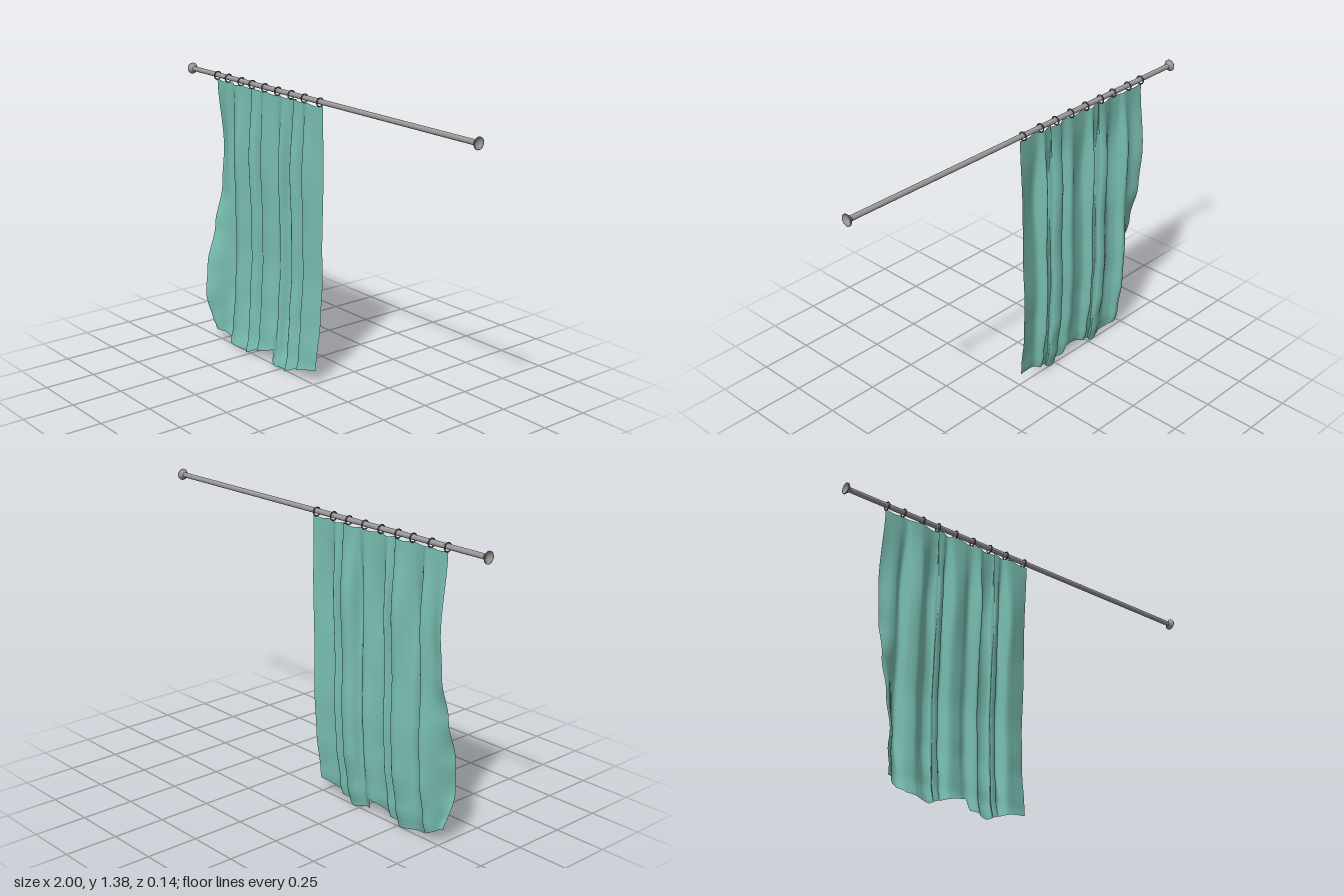
import * as THREE from 'three';

const ROD_Y = 1.355, ROD_Z = -0.028, TOP = 1.335;

// Smoothly interpolated lookup in a list of [key, value] pairs with rising keys
function sample(list, t, smooth = true) {
  if (t <= list[0][0]) return list[0][1];
  for (let i = 1; i < list.length; i++) {
    const [k0, v0] = list[i - 1], [k1, v1] = list[i];
    if (t <= k1) {
      let f = (t - k0) / (k1 - k0);
      if (smooth) f = f * f * (3 - 2 * f);
      return v0 + (v1 - v0) * f;
    }
  }
  return list[list.length - 1][1];
}

// Plan of the folds: x position and depth from -1 (back) to 1 (front)
const FOLDS = [
  [-0.785, 0], [-0.74, 0.1], [-0.7, -0.3], [-0.665, -0.9], [-0.635, 0.5], [-0.59, 1], [-0.555, 0.1],
  [-0.515, -1], [-0.485, -0.7], [-0.495, 0.9], [-0.465, 0.6], [-0.44, -0.6], [-0.405, 0.8],
  [-0.35, 0.6], [-0.3, -0.2], [-0.255, 1], [-0.225, -0.6], [-0.195, -1], [-0.165, -0.6],
  [-0.175, 0.9], [-0.145, 0.5], [-0.12, -0.6], [-0.085, 0.9], [-0.03, 0.5], [0.03, -0.2],
];
// By height: middle depth, fold strength, and the depth of the loose left edge
const MIDDLE = [[0, 0.01], [0.1, -0.01], [0.3, -0.029], [0.5, -0.038], [0.7, -0.033], [1, -0.032], [1.335, -0.028]];
const STRENGTH = [[0, 0.012], [0.1, 0.015], [0.3, 0.025], [0.5, 0.022], [0.7, 0.02], [1, 0.033], [1.335, 0.007]];
const LEFT_EDGE = [[0.07, 0.03], [0.12, 0.045], [0.25, 0.07], [0.4, 0.05], [0.6, 0], [0.8, -0.045], [1, -0.06], [1.335, -0.03]];
const EDGE_X = [[0.06, 0.035], [0.2, 0.008], [0.4, -0.006], [0.9, 0], [1.335, 0]];
// Height of the uneven hem along x
const HEM = [[-0.785, 0.065], [-0.7, 0.052], [-0.65, 0.03], [-0.63, 0.017], [-0.5, 0.004], [-0.45, 0.028],
  [-0.38, 0.05], [-0.3, 0.072], [-0.293, 0.018], [-0.19, 0.002], [-0.13, 0.03], [-0.05, 0.055], [0.03, 0.07]];

function curtainGeometry() {
  const cols = 260, rows = 56;
  const plan = new THREE.CatmullRomCurve3(FOLDS.map(([x, d]) => new THREE.Vector3(x, 0, d * 0.035)));
  const pts = plan.getSpacedPoints(cols);
  const pos = [], index = [];
  for (let r = 0; r <= rows; r++) {
    const v = r / rows;
    for (const p of pts) {
      const s = (p.x + 0.785) / 0.815;
      const scallop = -0.006 * Math.pow(Math.sin(s * Math.PI * 8), 2) * Math.pow(v, 8);
      const y = v * TOP + sample(HEM, p.x, false) * Math.pow(1 - v, 3) + scallop;
      const loose = 1 - THREE.MathUtils.smoothstep(p.x, -0.785, -0.68);
      const folded = sample(MIDDLE, y) + sample(STRENGTH, y) * p.z / 0.035;
      const z = THREE.MathUtils.lerp(folded, sample(LEFT_EDGE, y), loose);
      const drift = -0.028 * (1 - v) * (0.5 + 0.5 * s) * (1 - loose);
      pos.push(p.x + drift + sample(EDGE_X, y) * loose, y, z);
    }
  }
  for (let r = 0; r < rows; r++) {
    for (let c = 0; c < cols; c++) {
      const a = r * (cols + 1) + c, b = a + cols + 1;
      index.push(a, a + 1, b, a + 1, b + 1, b);
    }
  }
  const g = new THREE.BufferGeometry();
  g.setAttribute('position', new THREE.Float32BufferAttribute(pos, 3));
  g.setIndex(index);
  g.computeVertexNormals();
  return g;
}

export function createModel() {
  const model = new THREE.Group();
  model.name = 'curtainOnRod';
  const cloth = new THREE.MeshStandardMaterial({ color: 0x78bdb0, side: THREE.DoubleSide });
  cloth.name = 'tealCloth';
  const metal = new THREE.MeshStandardMaterial({ color: 0x9c9999 });
  metal.name = 'greyMetal';
  const darkMetal = new THREE.MeshStandardMaterial({ color: 0x6a6666 });
  darkMetal.name = 'darkMetal';

  const add = (name, geometry, material, x = 0, y = 0, z = 0) => {
    const mesh = new THREE.Mesh(geometry, material);
    mesh.name = name;
    mesh.position.set(x, y, z);
    model.add(mesh);
    return mesh;
  };

  // Rod
  add('rod', new THREE.CylinderGeometry(0.012, 0.012, 1.976, 24).rotateZ(Math.PI / 2), metal, 0, ROD_Y, ROD_Z);

  // Flared, dished end caps
  const capProfile = [[0.012, -0.02], [0.015, -0.016], [0.022, -0.008], [0.027, -0.004], [0.027, 0],
    [0.023, 0], [0.012, -0.01], [0, -0.01]].map(([r, h]) => new THREE.Vector2(r, h));
  for (const side of [-1, 1]) {
    const cap = new THREE.LatheGeometry(capProfile, 28).rotateZ(-side * Math.PI / 2);
    add(side > 0 ? 'leftEndCap' : 'rightEndCap', cap, metal, side, ROD_Y, ROD_Z);
  }

  // Hanging rings
  const ringGeometry = new THREE.TorusGeometry(0.019, 0.003, 8, 28).rotateY(Math.PI / 2);
  [-0.78, -0.69, -0.585, -0.498, -0.398, -0.298, -0.198, -0.1, 0.01].forEach((x, i) => {
    add('ring' + (i + 1), ringGeometry, darkMetal, x, ROD_Y - 0.003, ROD_Z);
  });

  // Draped curtain
  add('curtain', curtainGeometry(), cloth);
  return model;
}
